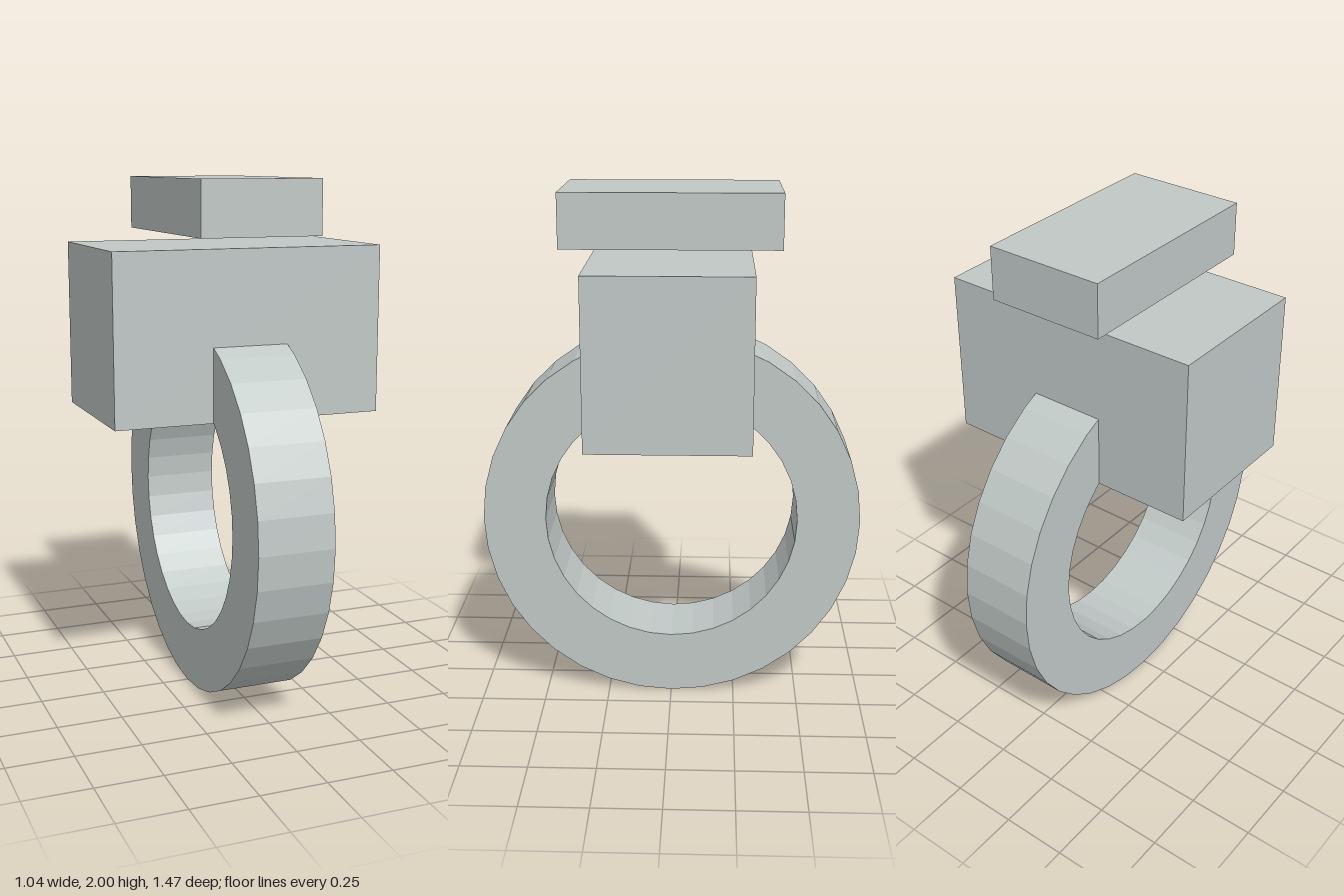
import * as THREE from 'three';

export function createModel() {
  const group = new THREE.Group();
  const silver = new THREE.MeshStandardMaterial({ color: 0xc0c8c6 });
  silver.name = 'paleSilver';

  const add = (name, geometry, y) => {
    const mesh = new THREE.Mesh(geometry, silver);
    mesh.name = name;
    mesh.position.y = y;
    group.add(mesh);
  };

  // Faceted band: a 36-sided ring standing in the YZ plane
  const sides = 36, outer = 0.733, inner = 0.49, width = 0.292;
  const ringPoints = (r) => Array.from({ length: sides }, (_, i) => {
    const a = (i / sides) * Math.PI * 2;
    return new THREE.Vector2(r * Math.cos(a), r * Math.sin(a));
  });
  const shape = new THREE.Shape(ringPoints(outer));
  shape.holes.push(new THREE.Path(ringPoints(inner)));
  const band = new THREE.ExtrudeGeometry(shape, { depth: width, bevelEnabled: false });
  band.translate(0, 0, -width / 2).rotateY(Math.PI / 2);
  add('band', band, outer);

  // Block that the band runs into
  add('settingBlock', new THREE.BoxGeometry(1.044, 0.634, 0.602), 1.436);

  // Bar floating just above the block
  add('topBar', new THREE.BoxGeometry(0.462, 0.203, 0.812), 1.8985);

  return group;
}
